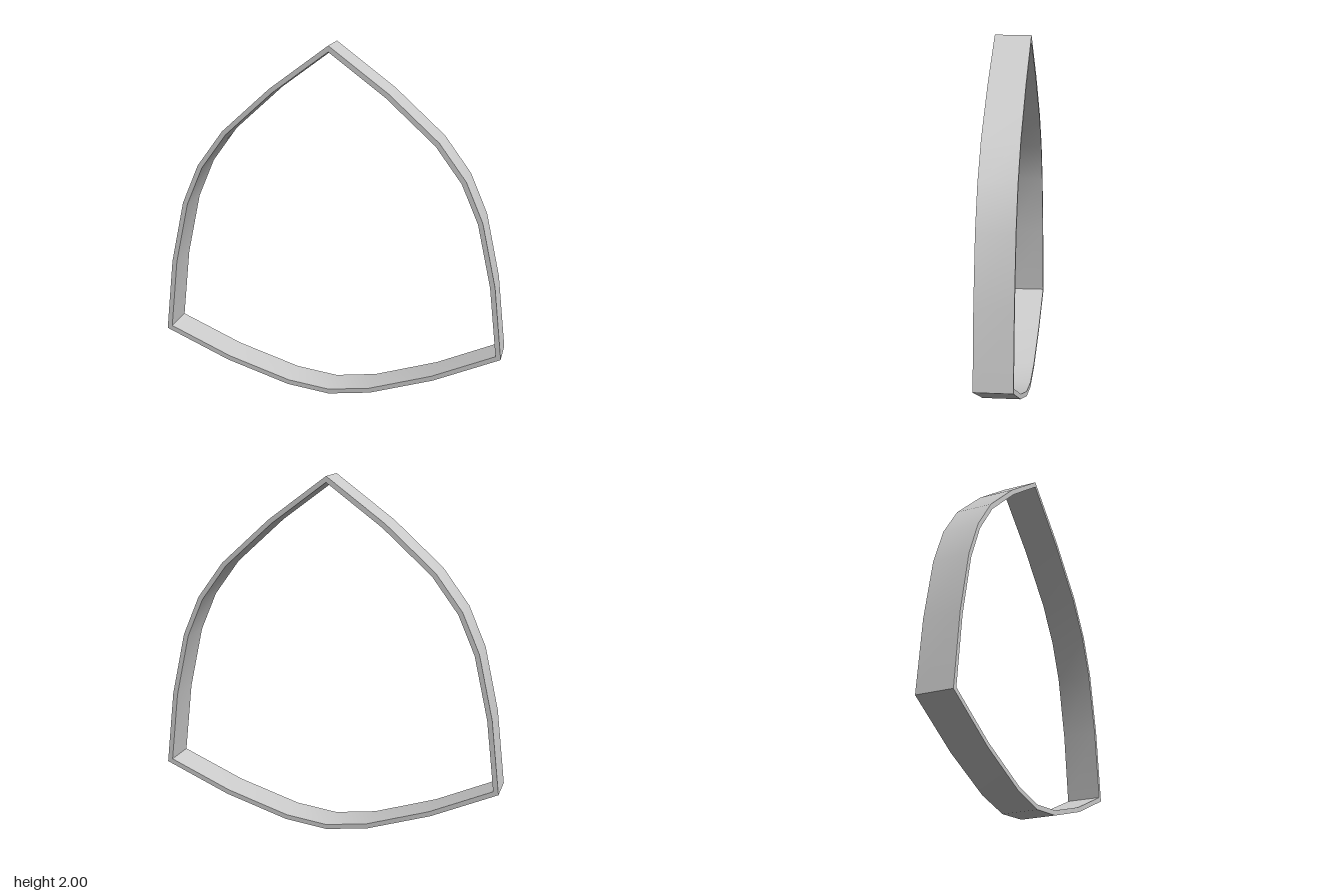
import * as THREE from 'three';
import { toCreasedNormals } from 'three/addons/utils/BufferGeometryUtils.js';

const WALL = 0.027;
const DEPTH = 0.2;

// Right half of the outer outline, from the bottom centre up to the tip
const half = [
  [0, 0], [0.243, 0.033], [0.603, 0.148], [0.974, 0.312], [0.926, 0.73],
  [0.847, 1.085], [0.751, 1.307], [0.603, 1.508], [0.328, 1.757], [0, 2],
].map(([x, y]) => new THREE.Vector2(x, y));

// Mitred inward offset of a counter-clockwise closed outline
function inset(points, distance) {
  const n = points.length;
  const normal = (a, b) => new THREE.Vector2(a.y - b.y, b.x - a.x).normalize();
  return points.map((p, i) => {
    const n1 = normal(points[(i + n - 1) % n], p);
    const n2 = normal(p, points[(i + 1) % n]);
    const mitre = n1.clone().add(n2).multiplyScalar(distance / (1 + n1.dot(n2)));
    return mitre.add(p);
  });
}

export function createModel() {
  const group = new THREE.Group();
  group.name = 'curvedTriangleFrame';

  // Mirror the half outline, then cut the opening
  const mirrored = half.slice(1, -1).reverse().map((p) => new THREE.Vector2(-p.x, p.y));
  const outline = [...half, ...mirrored];
  const shape = new THREE.Shape(outline);
  shape.holes.push(new THREE.Path(inset(outline, WALL)));

  // Thin band, smooth along the curved sides and sharp at the three corners
  const band = new THREE.ExtrudeGeometry(shape, { depth: DEPTH, bevelEnabled: false });
  band.translate(0, 0, -DEPTH / 2);
  const frame = new THREE.Mesh(
    toCreasedNormals(band, 0.6),
    new THREE.MeshStandardMaterial({ color: 0xcccccc }),
  );
  frame.name = 'frame';
  group.add(frame);
  return group;
}
